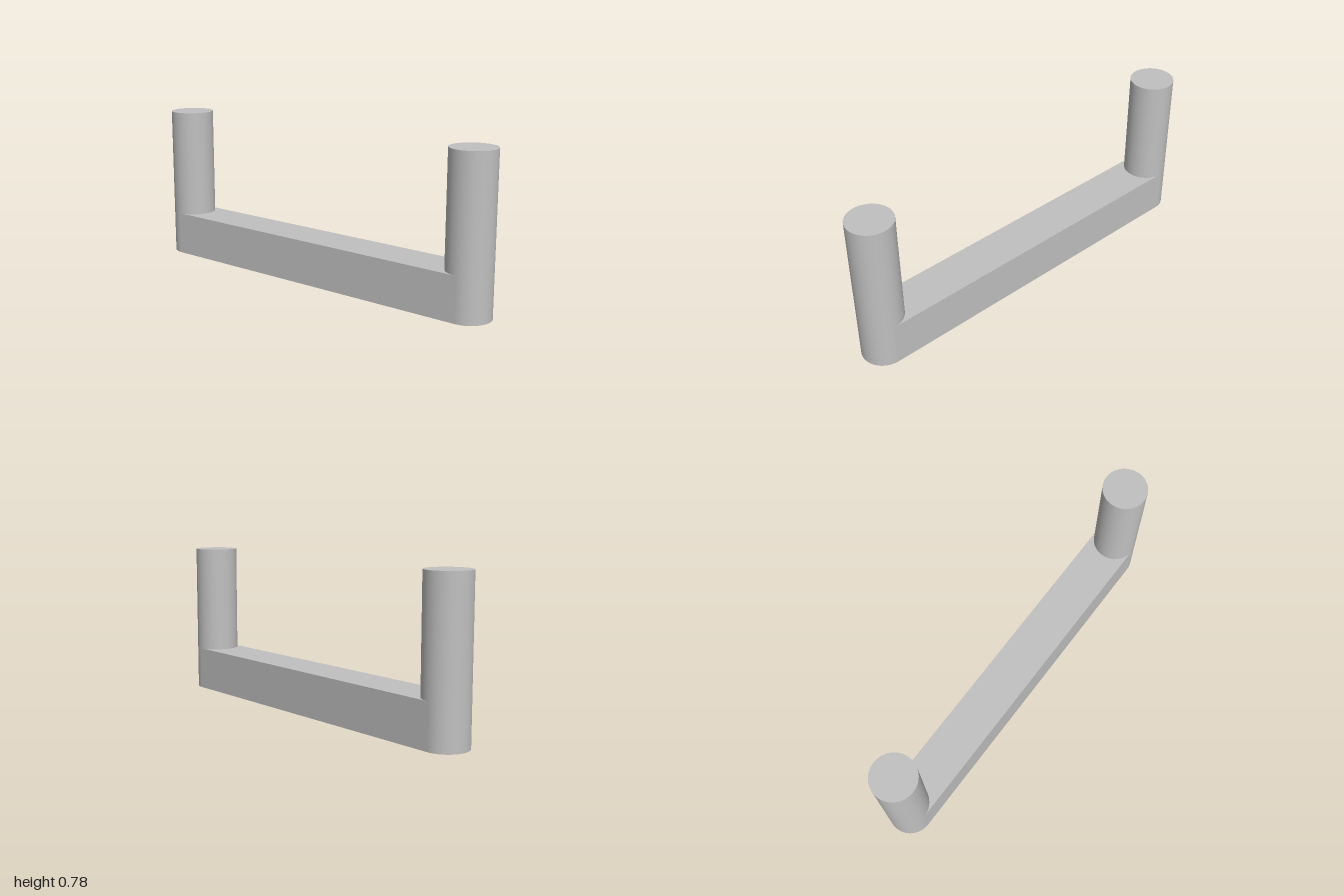
import * as THREE from 'three';

export function createModel() {
  const model = new THREE.Group();
  model.name = 'barHandle';

  const grey = new THREE.MeshStandardMaterial({ color: 0xc0c0c0 });
  grey.name = 'grey';

  const radius = 0.111;
  const postX = 1 - radius;
  const postHeight = 0.778;
  const barHeight = 0.222;

  // Straight bar between the post centres
  const bar = new THREE.Mesh(new THREE.BoxGeometry(postX * 2, barHeight, radius * 2), grey);
  bar.name = 'bar';
  bar.position.y = barHeight / 2;
  model.add(bar);

  // Round posts, which also round off the ends of the bar
  const postGeometry = new THREE.CylinderGeometry(radius, radius, postHeight, 64);
  for (const [name, side] of [['leftPost', 1], ['rightPost', -1]]) {
    const post = new THREE.Mesh(postGeometry, grey);
    post.name = name;
    post.position.set(side * postX, postHeight / 2, 0);
    model.add(post);
  }

  return model;
}
